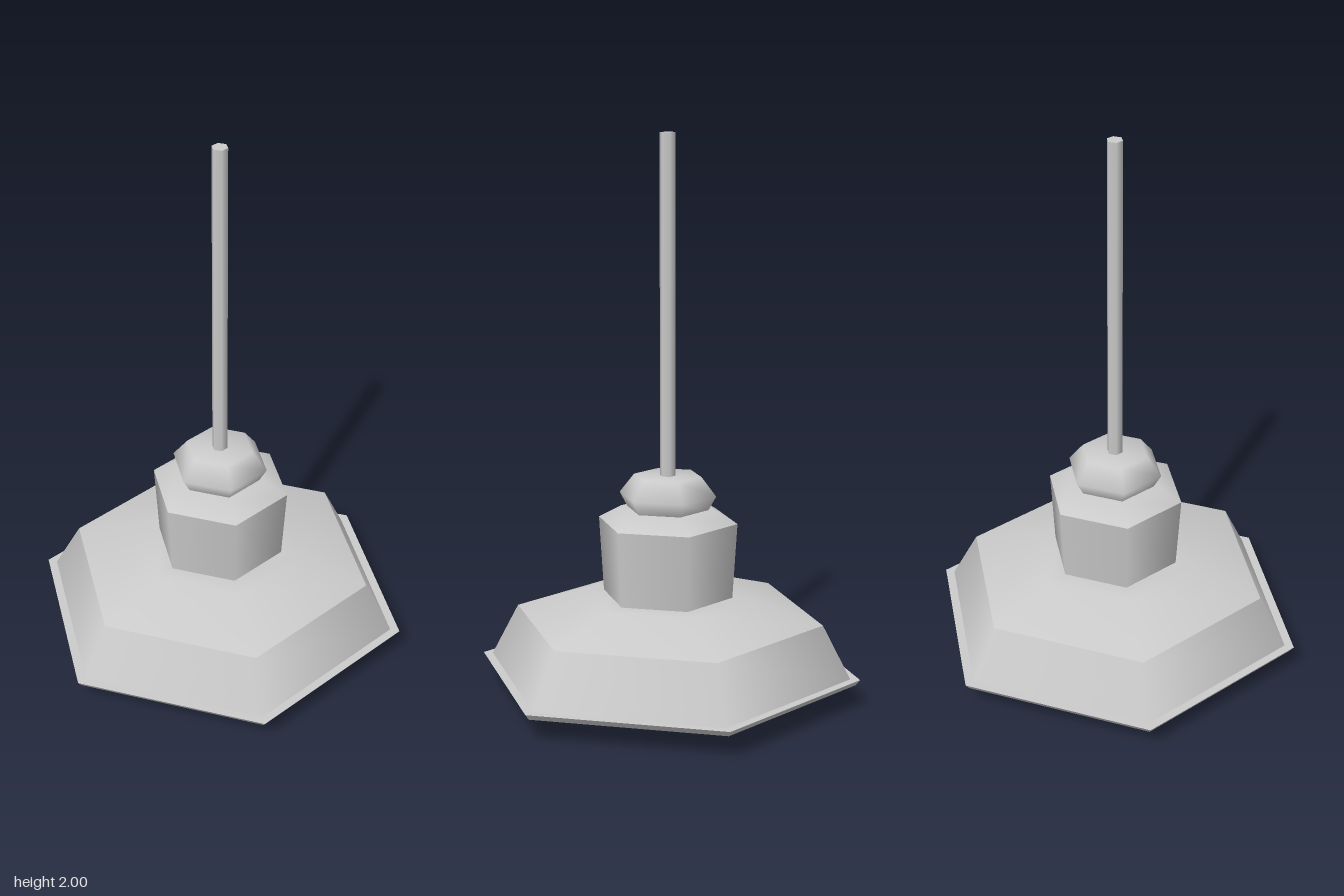
import * as THREE from 'three';
import { toCreasedNormals } from 'three/addons/utils/BufferGeometryUtils.js';

const SIDES = 6;

export function createModel() {
  const group = new THREE.Group();
  const material = new THREE.MeshStandardMaterial({ color: 0xcccccc });

  // Six-sided turned part; each band is smooth, with sharp edges between bands
  function turned(name, bands) {
    const part = new THREE.Group();
    part.name = name;
    bands.forEach((band, i) => {
      const points = band.map(([r, y]) => new THREE.Vector2(r, y));
      const mesh = new THREE.Mesh(new THREE.LatheGeometry(points, SIDES, Math.PI / 2), material);
      mesh.name = name + 'Band' + (i + 1);
      part.add(mesh);
    });
    group.add(part);
  }

  // Shade: inner ceiling, inner wall, rim, outer wall, shallow roof
  turned('shade', [
    [[0, 0.31], [0.42, 0.31]],
    [[0.42, 0.31], [0.575, 0.08]],
    [[0.575, 0.08], [0.68, 0.08]],
    [[0.68, 0.08], [0.695, 0.1]],
    [[0.695, 0.1], [0.66, 0.1]],
    [[0.66, 0.1], [0.56, 0.29]],
    [[0.56, 0.29], [0.31, 0.37], [0.22, 0.37]],
  ]);

  // Socket housing with a sloped top
  turned('socket', [
    [[0.235, 0.365], [0.252, 0.64]],
    [[0.252, 0.64], [0.17, 0.685], [0, 0.685]],
  ]);

  // Rounded cap where the rod enters
  turned('cap', [[[0.145, 0.68], [0.175, 0.735], [0.122, 0.803], [0, 0.803]]]);

  // Hanging rod
  turned('rod', [
    [[0.028, 0.79], [0.028, 2]],
    [[0.028, 2], [0, 2]],
  ]);

  // Bulb: tapered hexagon whose lower end folds to a ridge along x
  const bulb = new THREE.CylinderGeometry(0.08, 0.188, 0.33, SIDES);
  bulb.rotateY(Math.PI / 2);
  const pos = bulb.attributes.position;
  for (let i = 0; i < pos.count; i++) {
    if (pos.getY(i) > 0) {
      pos.setY(i, 0.33);
      continue;
    }
    const z = Math.abs(pos.getZ(i));
    pos.setY(i, z * 0.46);
    if (z < 0.01) pos.setX(i, pos.getX(i) * 0.825);
  }
  const bulbMesh = new THREE.Mesh(toCreasedNormals(bulb, 1.15), material);
  bulbMesh.name = 'bulb';
  group.add(bulbMesh);

  return group;
}
